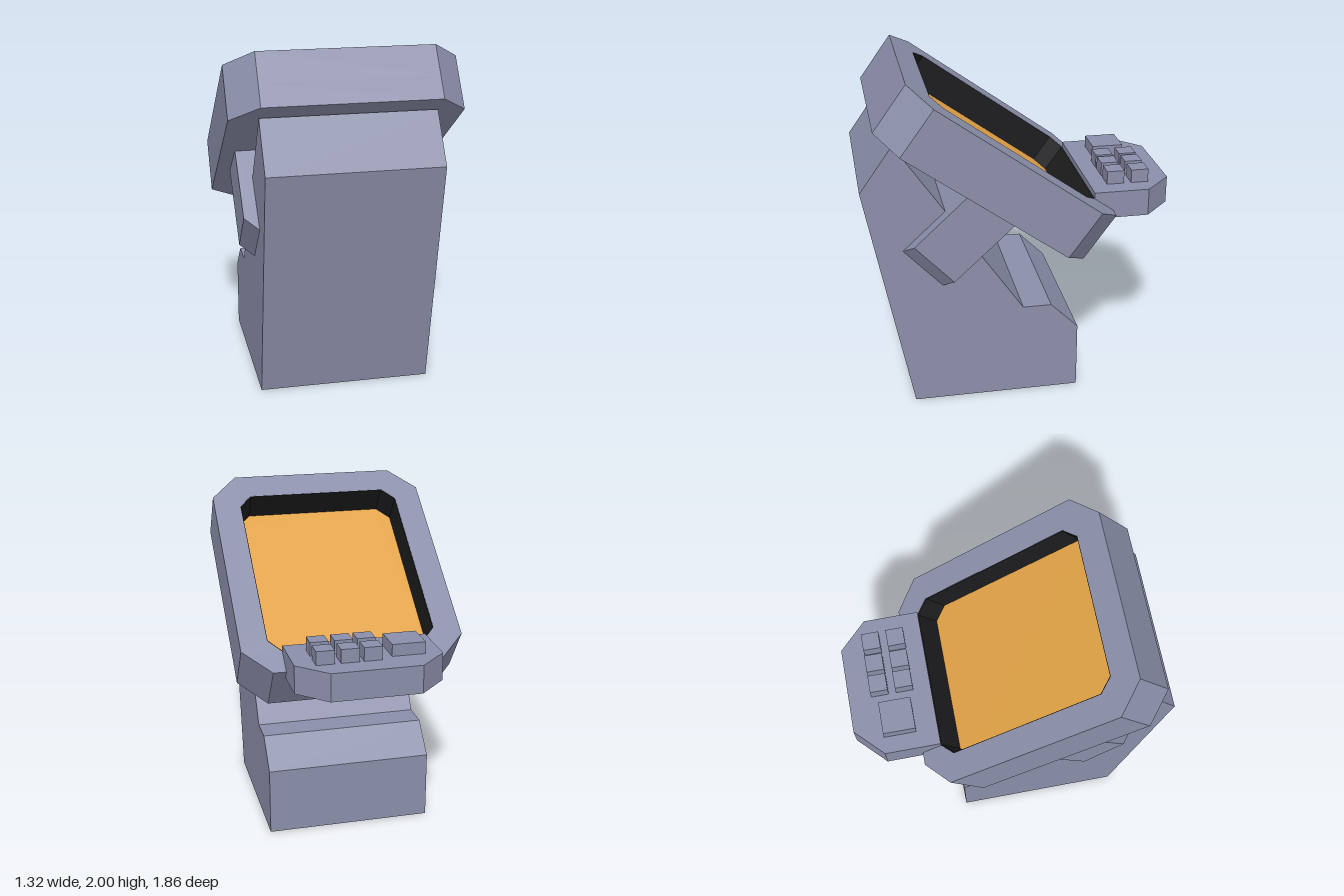
import * as THREE from 'three';

const bodyMat = new THREE.MeshStandardMaterial({ color: 0x8a8ea9 });
bodyMat.name = 'blue grey casing';
const screenMat = new THREE.MeshStandardMaterial({ color: 0xe0a146 });
screenMat.name = 'amber screen';
const darkMat = new THREE.MeshStandardMaterial({ color: 0x1c1c1e });
darkMat.name = 'black screen surround';

// Extrude a straight-sided outline, optionally with a hole
function slab(name, points, depth, mat, hole) {
  const shape = new THREE.Shape(points.map(p => new THREE.Vector2(...p)));
  if (hole) shape.holes.push(new THREE.Path(hole.map(p => new THREE.Vector2(...p))));
  const mesh = new THREE.Mesh(new THREE.ExtrudeGeometry(shape, { depth, bevelEnabled: false }), mat);
  mesh.name = name;
  return mesh;
}

// Rectangle with cut corners, from y0 to y1 and half width w
function cutRect(w, y0, y1, cx, cy) {
  return [
    [-w + cx, y0], [w - cx, y0], [w, y0 + cy], [w, y1 - cy],
    [w - cx, y1], [-w + cx, y1], [-w, y1 - cy], [-w, y0 + cy],
  ];
}

// Turn an object so its local y follows yDir and its local z follows zDir
function orient(obj, yDir, zDir) {
  const x = new THREE.Vector3().crossVectors(yDir, zDir);
  obj.quaternion.setFromRotationMatrix(new THREE.Matrix4().makeBasis(x, yDir, zDir));
}

function createScreenHead() {
  const head = new THREE.Group();
  head.name = 'screenHead';
  const outer = cutRect(0.66, 0, 1.482, 0.16, 0.16);
  const opening = cutRect(0.5, 0.14, 1.318, 0.075, 0.08);
  const lining = cutRect(0.496, 0.144, 1.314, 0.075, 0.08);
  const floor = 0.138, thickness = 0.325;

  const back = slab('headBack', outer, floor, bodyMat);
  const frame = slab('headFrame', outer, thickness - floor, bodyMat, opening);
  frame.position.z = floor;
  const surround = slab('screenSurround', opening, thickness - floor - 0.001, darkMat, lining);
  surround.position.z = floor;
  const screen = slab('screen', lining, 0.005, screenMat);
  screen.position.z = floor;
  head.add(back, frame, surround, screen);

  const a = Math.atan2(0.868, 1.2);
  const c = Math.cos(a), s = Math.sin(a);
  orient(head, new THREE.Vector3(0, s, c), new THREE.Vector3(0, c, -s));
  head.position.set(0, 0.866, -0.36);
  return head;
}

function createKeypad() {
  const keypad = new THREE.Group();
  keypad.name = 'keypad';
  // Shelf outline, with y pointing towards the back
  const shelf = slab('keypadShelf', [
    [-0.425, 0.437], [0.425, 0.437], [0.425, 0.765],
    [0.26, 0.927], [-0.26, 0.927], [-0.425, 0.765],
  ], 0.165, bodyMat);
  shelf.rotation.x = -Math.PI / 2;
  shelf.position.y = 1.082;
  keypad.add(shelf);

  const addKey = (name, x, z, w, d, h) => {
    const key = new THREE.Mesh(new THREE.BoxGeometry(w, h, d), bodyMat);
    key.name = name;
    key.position.set(x, 1.247 + h / 2, z);
    keypad.add(key);
  };
  addKey('largeKey', -0.228, -0.66, 0.195, 0.19, 0.07);
  for (const x of [-0.013, 0.117, 0.257]) {
    for (const z of [-0.74, -0.592]) addKey('smallKey', x, z, 0.105, 0.104, 0.08);
  }
  return keypad;
}

export function createModel() {
  const model = new THREE.Group();
  model.name = 'deskTerminal';

  // Pedestal: side profile in z, y extruded across the width
  const pedestal = slab('pedestal', [
    [0.66, 0], [0.93, 1.38], [0.737, 1.653], [0, 0.572],
    [-0.17, 0.572], [-0.335, 0.407], [-0.335, 0],
  ], 0.994, bodyMat);
  pedestal.rotation.y = -Math.PI / 2;
  pedestal.position.x = 0.497;

  // Angled strut passing through the pedestal into the head
  const strut = slab('strut', [
    [-0.497, 0], [0.497, 0], [0.577, 0.08], [0.577, 0.62], [-0.577, 0.62], [-0.577, 0.08],
  ], 0.328, bodyMat);
  const a = Math.atan2(0.68, 0.73);
  const c = Math.cos(a), s = Math.sin(a);
  orient(strut, new THREE.Vector3(0, s, -c), new THREE.Vector3(0, c, s));
  strut.position.set(0, 0.768, 0.478);

  model.add(pedestal, strut, createScreenHead(), createKeypad());
  // Local x of the pedestal runs along +z
  return model;
}
